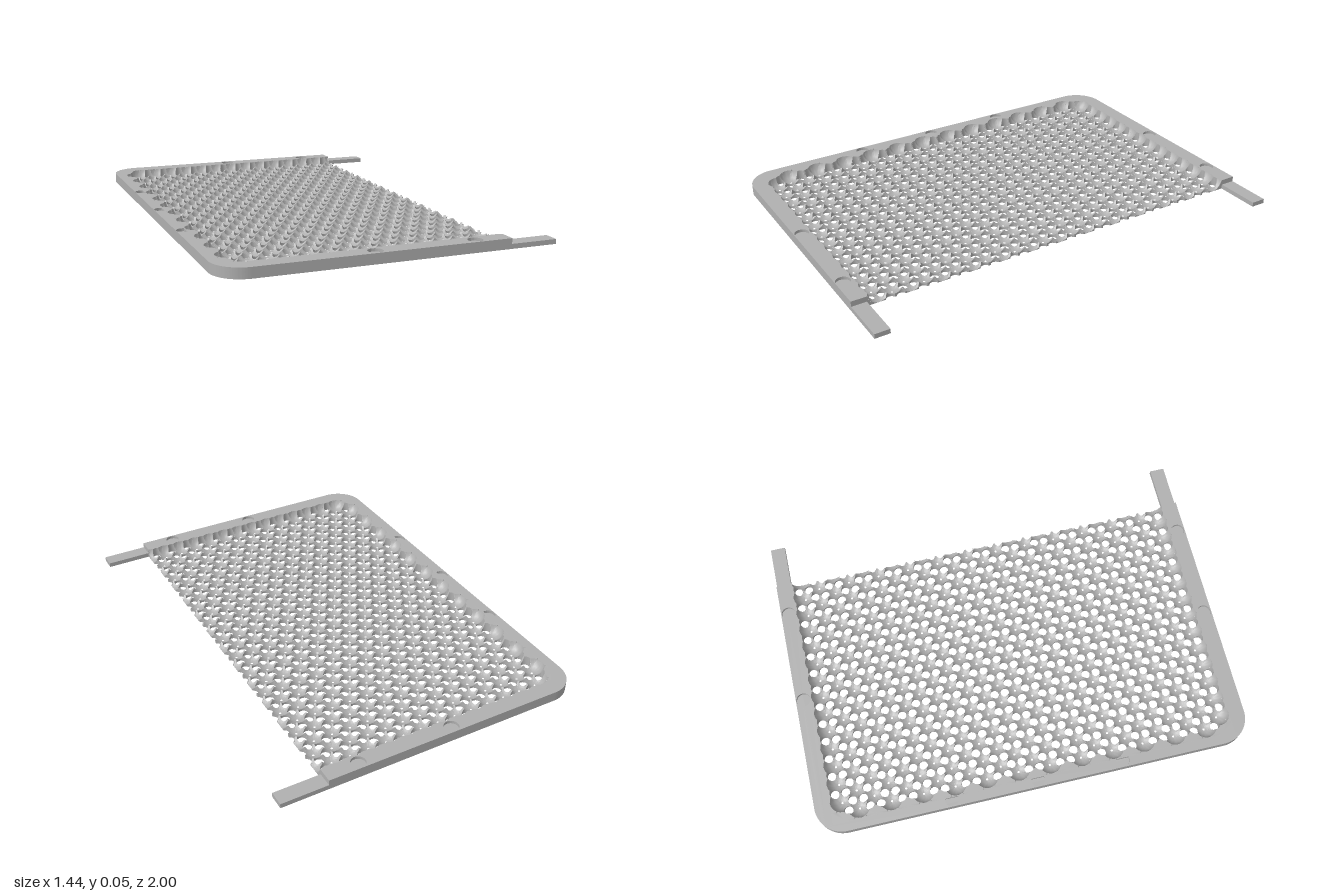
import * as THREE from 'three';
import { toCreasedNormals } from 'three/addons/utils/BufferGeometryUtils.js';

const TOP = 0.045, FLOOR = 0.032;                  // plate height, recess floor
const PITCH = 0.0845, ROW = 0.0732;                // hexagonal spacing of the cups
const CUP_R = 0.05, CUP_Y = 0.04975;               // spherical cups
const HOLE_R = 0.0205, DOT_R = 0.005;              // drain holes and cup bottoms
const X0 = -0.677, X1 = 0.51, Z1 = 0.93;           // extent of the cup field
const CORNER = PITCH / Math.sqrt(3);

const clamp = THREE.MathUtils.clamp;

// Cup sites; the outermost ring only carries the rim around the cups
const sites = [];
for (let k = -13; k <= 13; k++) {
  for (let i = -1; i <= 14; i++) {
    sites.push({ x: (k % 2 ? -0.625 : -0.58275) + i * PITCH, z: k * ROW, cup: i >= 0 && Math.abs(k) <= 12 });
  }
}
const cups = sites.filter((s) => s.cup);

// Surface height: lowest cup over the point, else the flat top
function height(x, z) {
  let h = TOP;
  for (const s of cups) {
    const d2 = (x - s.x) ** 2 + (z - s.z) ** 2;
    if (d2 < CUP_R * CUP_R) h = Math.min(h, CUP_Y - Math.sqrt(CUP_R * CUP_R - d2));
  }
  return Math.max(h, 0);
}

// A drain hole sits wherever at least two cups meet at a cell corner
const isHole = (x, z) => cups.filter((s) => Math.hypot(s.x - x, s.z - z) < CORNER * 1.05).length >= 2;

function buildField() {
  const out = [];
  const a = new THREE.Vector3(), b = new THREE.Vector3();
  const tri = (p, q, r) => {
    a.subVectors(q, p);
    b.subVectors(r, p);
    if (a.cross(b).length() > 1e-9) out.push(p.x, p.y, p.z, q.x, q.y, q.z, r.x, r.y, r.z);
  };
  const quad = (p, q, r, s) => { tri(p, q, r); tri(p, r, s); };
  const holes = [];

  for (const c of sites) {
    if (c.x - PITCH / 2 > X1) continue;

    // Hexagonal outline with arcs bitten out of the corners
    const rim = [];
    for (let j = 0; j < 6; j++) {
      const ang = Math.PI / 6 + j * Math.PI / 3;
      const cx = c.x + CORNER * Math.cos(ang), cz = c.z + CORNER * Math.sin(ang);
      const hole = isHole(cx, cz);
      if (hole) holes.push([cx, cz]);
      for (let n = 0; n <= 4; n++) {
        const s = n / 2 - 1;
        const dir = ang + Math.PI - (hole ? s : Math.sign(s)) * Math.PI / 3;
        const len = HOLE_R * (hole ? 1 : Math.abs(s));
        rim.push({ x: cx + len * Math.cos(dir), z: cz + len * Math.sin(dir), wall: hole && n < 4 });
      }
    }

    const at = (p, t, flat) => {
      const x = clamp(c.x + t * (p.x - c.x), X0, X1), z = clamp(c.z + t * (p.z - c.z), -Z1, Z1);
      return new THREE.Vector3(x, flat ? 0 : height(x, z), z);
    };
    // Parameters along one ray: cup rings, or the edge where the rim falls into a cup
    const steps = (p) => {
      if (c.cup) return [DOT_R / Math.hypot(p.x - c.x, p.z - c.z), 0.45, 0.75, 1];
      let lo = 0, hi = 1;
      if (at(p, 1).y > TOP - 1e-5) return [0, 0.97, 1];
      for (let n = 0; n < 18; n++) {
        const mid = (lo + hi) / 2;
        if (at(p, mid).y < TOP - 1e-6) hi = mid; else lo = mid;
      }
      return [0, lo, 1];
    };
    const rays = rim.map((p) => steps(p).map((t) => at(p, t)));
    const base = rim.map((p) => [at(p, c.cup ? steps(p)[0] : 0, true), at(p, 1, true)]);

    for (let i = 0; i < rim.length; i++) {
      const j = (i + 1) % rim.length, p = rays[i], q = rays[j], n = p.length - 1;
      for (let r = 0; r < n; r++) quad(p[r], q[r], q[r + 1], p[r + 1]);
      quad(base[i][0], base[i][1], base[j][1], base[j][0]);
      const cut = p[n].x >= X1 && q[n].x >= X1;
      if (rim[i].wall && !cut) quad(base[i][1], p[n], q[n], base[j][1]);
    }
  }

  // Cut face along the open edge
  const N = 620;
  for (let i = 0; i < N; i++) {
    const za = -Z1 + 2 * Z1 * i / N, zb = -Z1 + 2 * Z1 * (i + 1) / N, zm = (za + zb) / 2;
    if (holes.some(([x, z]) => Math.hypot(X1 - x, zm - z) < HOLE_R)) continue;
    const v = (y, z) => new THREE.Vector3(X1, y, z);
    quad(v(0, za), v(height(X1, za), za), v(height(X1, zb), zb), v(0, zb));
  }

  const g = new THREE.BufferGeometry();
  g.setAttribute('position', new THREE.Float32BufferAttribute(out, 3));
  return toCreasedNormals(g, 0.6);
}

// U-shaped border with two rounded corners
function frameShape() {
  const s = new THREE.Shape(), r = 0.13;
  s.moveTo(X1, 1);
  s.lineTo(-0.72 + r, 1);
  s.absarc(-0.72 + r, 1 - r, r, Math.PI / 2, Math.PI, false);
  s.lineTo(-0.72, -1 + r);
  s.absarc(-0.72 + r, -1 + r, r, Math.PI, Math.PI * 1.5, false);
  s.lineTo(X1, -1);
  s.lineTo(X1, -Z1);
  s.lineTo(X0, -Z1);
  s.lineTo(X0, Z1);
  s.lineTo(X1, Z1);
  s.closePath();
  return s;
}

function slab(shape, y, depth) {
  const g = new THREE.ExtrudeGeometry(shape, { depth, bevelEnabled: false, curveSegments: 20 });
  g.rotateX(-Math.PI / 2).translate(0, y, 0);
  return toCreasedNormals(g, 0.5);
}

export function createModel() {
  const group = new THREE.Group();
  const grey = new THREE.MeshStandardMaterial({ color: 0xb0b0b0 });
  grey.name = 'grey';
  const add = (name, geometry) => {
    const m = new THREE.Mesh(geometry, grey);
    m.name = name;
    group.add(m);
    return m;
  };

  add('cupField', buildField());
  add('frameBase', slab(frameShape(), 0, FLOOR));

  // Upper frame with round recesses
  const upper = frameShape();
  for (const side of [-1, 1]) {
    for (const x of [-0.08, 0.36]) {
      upper.holes.push(new THREE.Path().absarc(x, side * 0.965, 0.032, 0, Math.PI * 2, true));
    }
  }
  for (const z of [-0.395, 0, 0.395]) {
    const a = Math.acos(0.0095 / 0.031);
    const p = new THREE.Path().absarc(-0.688, z, 0.031, a, Math.PI * 2 - a, false);
    p.closePath();
    upper.holes.push(p);
  }
  add('frameTop', slab(upper, FLOOR, TOP - FLOOR));

  // Thin connecting tabs
  for (const side of [-1, 1]) {
    add(side > 0 ? 'frontTab' : 'backTab', new THREE.BoxGeometry(0.21, 0.021, 0.068))
      .position.set(0.615, 0.0105, side * 0.966);
  }
  return group;
}
